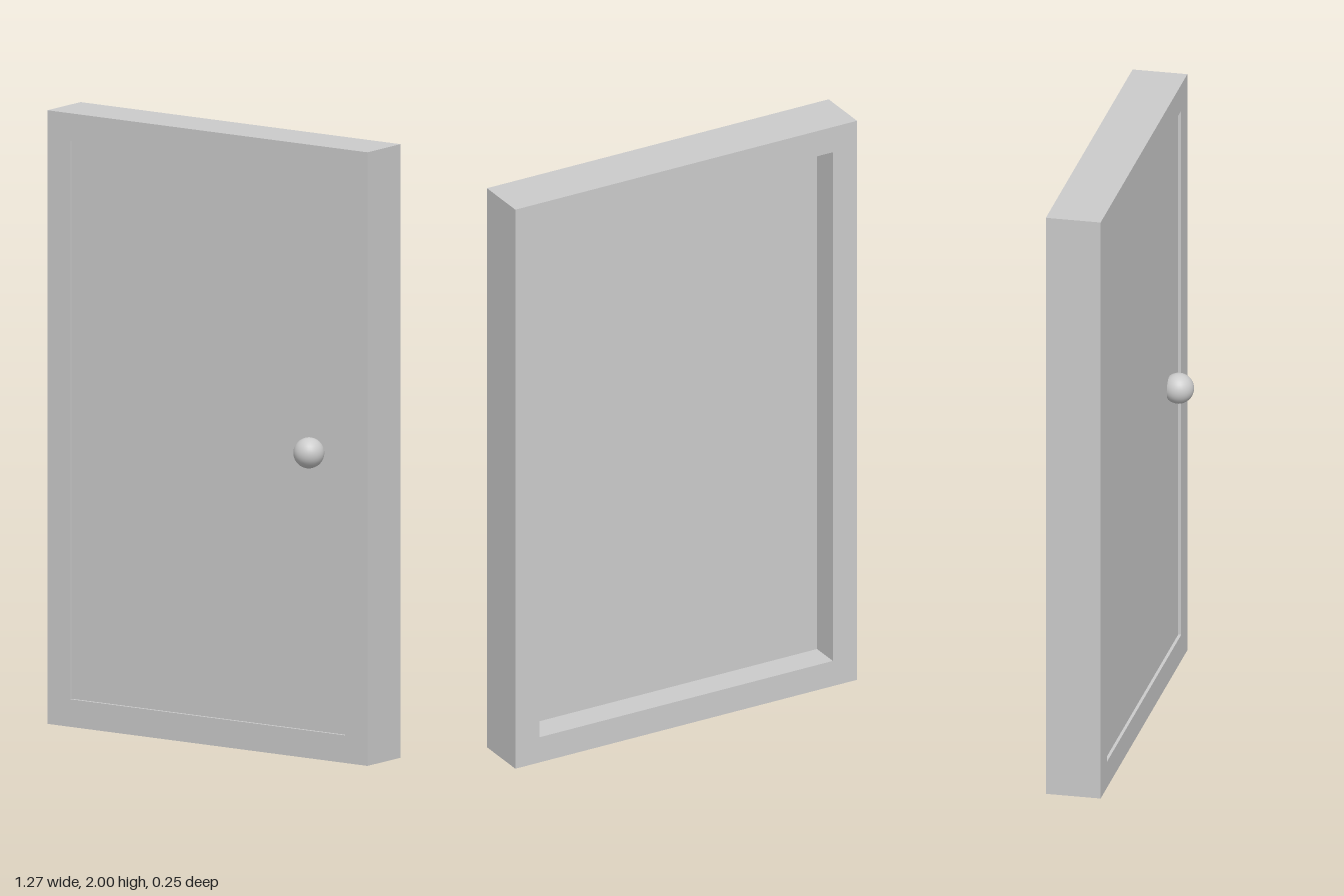
import * as THREE from 'three';

const W = 1.27, H = 2, BORDER = 0.09;
const BACK = -0.125, FRONT = 0.055;

// Rectangle centred on x = 0, inset from the outer outline
function rect(PathType, inset) {
  const x = W / 2 - inset, y0 = inset, y1 = H - inset;
  return new PathType([
    new THREE.Vector2(-x, y0), new THREE.Vector2(x, y0),
    new THREE.Vector2(x, y1), new THREE.Vector2(-x, y1),
  ]);
}

export function createModel() {
  const group = new THREE.Group();
  group.name = 'door';
  const material = new THREE.MeshStandardMaterial({ color: 0xcccccc });

  const add = (name, geometry, x, y, z) => {
    const mesh = new THREE.Mesh(geometry, material);
    mesh.name = name;
    mesh.position.set(x, y, z);
    group.add(mesh);
  };

  // Door frame: rectangular surround with an opening
  const outline = rect(THREE.Shape, 0);
  outline.holes.push(rect(THREE.Path, BORDER));
  add('doorFrame', new THREE.ExtrudeGeometry(outline, { depth: FRONT - BACK, bevelEnabled: false }), 0, 0, BACK);

  // Door panel: barely recessed at the front, deeply at the back
  const panelFront = 0.045, panelBack = -0.025;
  add('doorPanel',
    new THREE.BoxGeometry(W - 2 * BORDER, H - 2 * BORDER, panelFront - panelBack),
    0, H / 2, (panelFront + panelBack) / 2);

  // Round knob on the front
  add('doorKnob', new THREE.SphereGeometry(0.05, 32, 16), 0.417, 1, 0.075);

  return group;
}
